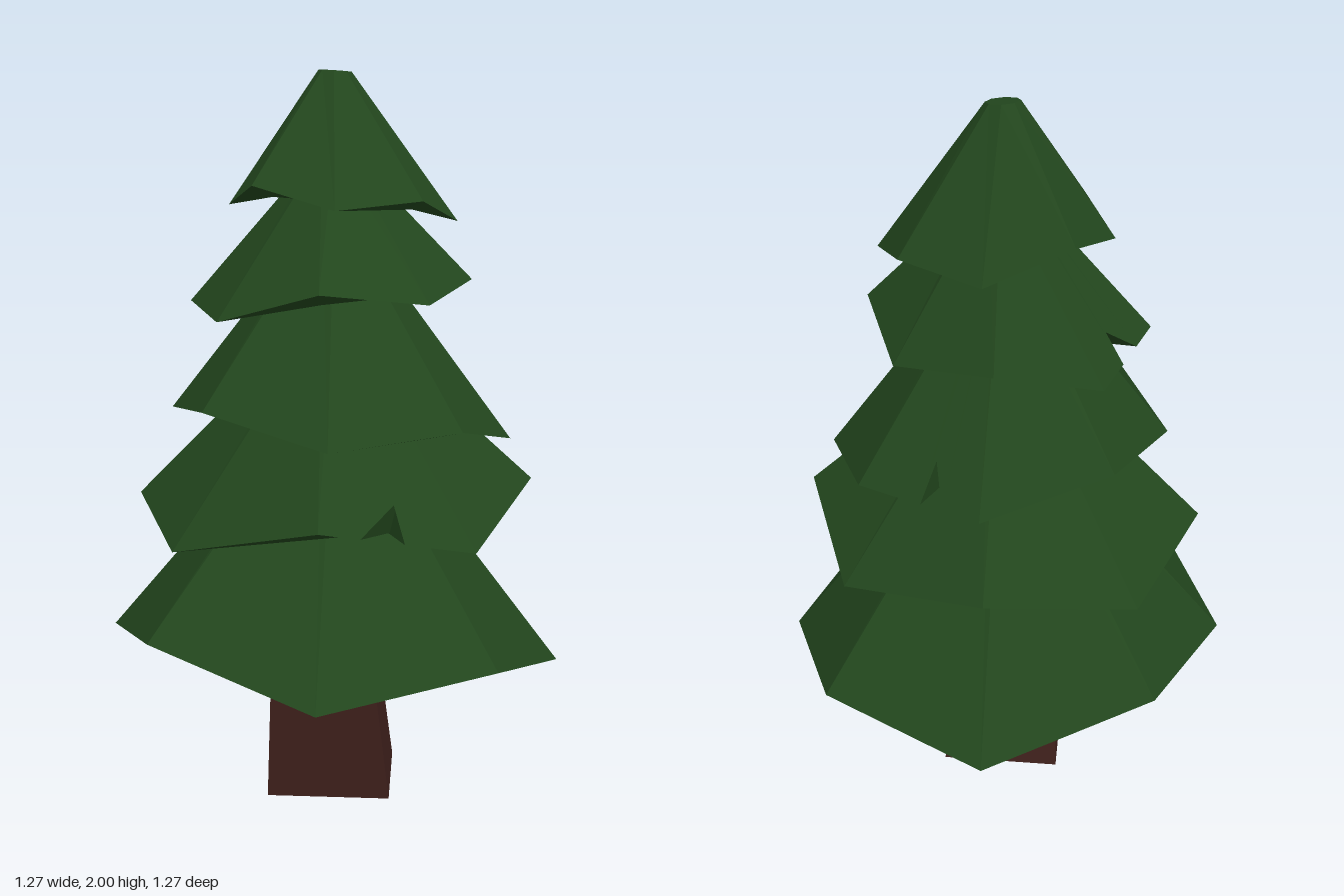
import * as THREE from 'three';

const foliageMaterial = new THREE.MeshStandardMaterial({ color: 0x22461d, flatShading: true });
const barkMaterial = new THREE.MeshStandardMaterial({ color: 0x3f201c, flatShading: true });

// Skins a list of rings (each an array of Vector3, same count) with flat facets
function loft(rings) {
  const positions = [];
  const tri = (...corners) => {
    const [a, b, c] = corners;
    if (a.equals(b) || b.equals(c) || a.equals(c)) return;
    corners.forEach((p) => positions.push(p.x, p.y, p.z));
  };
  for (let r = 0; r < rings.length - 1; r++) {
    const low = rings[r], high = rings[r + 1], n = low.length;
    for (let i = 0; i < n; i++) {
      const j = (i + 1) % n;
      tri(low[i], high[i], high[j]);
      tri(low[i], high[j], low[j]);
    }
  }
  const geometry = new THREE.BufferGeometry();
  geometry.setAttribute('position', new THREE.Float32BufferAttribute(positions, 3));
  geometry.computeVertexNormals();
  return geometry;
}

// Ring collapsed to its average point, used to close a loft
function centreOf(ring) {
  const c = ring.reduce((sum, p) => sum.add(p), new THREE.Vector3()).divideScalar(ring.length);
  return ring.map(() => c.clone());
}

// Regular ring; heightAt(k, x) gives the height of each corner
function makeRing(sides, radius, cx, cz, heightAt) {
  return Array.from({ length: sides }, (_, k) => {
    const a = (k / sides) * Math.PI * 2;
    const x = Math.cos(a) * radius, z = Math.sin(a) * radius;
    return new THREE.Vector3(cx + x, heightAt(k, x), cz + z);
  });
}

// Eight-sided hollow skirt. rim: corner heights from +x round by +z.
// notch: [side, start, tip, end] cuts a small tear into one side of the rim.
function makeTier({ radius, cx, cz, rim, topY, notch }) {
  const mean = rim.reduce((s, y) => s + y, 0) / 8;
  // Tilt of the rim at corner k, without its zigzag
  const tilt = (k) => (rim[k] - rim[(k + 4) % 8]) / 2;
  let rings = [
    makeRing(8, radius * 0.32, cx, cz, (k) => mean + radius * 0.48 + tilt(k) * 0.32),
    makeRing(8, radius * 0.78, cx, cz, (k) => mean + tilt(k) * 0.78),
    makeRing(8, radius, cx, cz, (k) => rim[k]),
    makeRing(8, 0.045, 0.005, 0, (k, x) => topY - 0.1 * x),
  ];
  if (notch) {
    const [side, ...steps] = notch;
    rings = rings.map((ring) => {
      const extra = steps.map((t) => ring[side].clone().lerp(ring[(side + 1) % 8], t));
      return [...ring.slice(0, side + 1), ...extra, ...ring.slice(side + 1)];
    });
    const tip = side + 2;
    rings[2][tip].lerp(rings[3][tip], 0.18);
  }
  return loft([centreOf(rings[0]), ...rings, centreOf(rings[3])]);
}

const tiers = [
  { radius: 0.636, cx: 0, cz: 0, topY: 1.13,
    rim: [0.465, 0.405, 0.52, 0.44, 0.515, 0.395, 0.46, 0.36] },
  { radius: 0.553, cx: 0, cz: 0, topY: 1.34, notch: [0, 0.46, 0.42, 0.74],
    rim: [0.76, 0.84, 0.75, 0.83, 0.77, 0.865, 0.79, 0.885] },
  { radius: 0.472, cx: 0.031, cz: 0.003, topY: 1.6, notch: [5, 0.3, 0.45, 0.48],
    rim: [1.065, 1.03, 1.11, 1.08, 1.13, 1.05, 1.06, 1.0] },
  { radius: 0.384, cx: 0.037, cz: 0.045, topY: 1.78, notch: [3, 0.32, 0.58, 0.6],
    rim: [1.385, 1.415, 1.34, 1.38, 1.32, 1.4, 1.365, 1.44] },
  { radius: 0.312, cx: 0.037, cz: 0, topY: 1.996,
    rim: [1.645, 1.62, 1.685, 1.64, 1.695, 1.62, 1.65, 1.595] },
];

export function createModel() {
  const tree = new THREE.Group();
  tree.name = 'pineTree';

  // Four-sided trunk with a slight bend: [radius, centre x, centre z, height]
  const trunkRings = [
    [0.24, -0.002, 0.004, 0],
    [0.208, 0.014, 0.037, 0.29],
    [0.196, 0.002, 0.022, 0.5],
    [0.18, 0, 0.01, 0.76],
  ].map(([r, cx, cz, y]) => makeRing(4, r, cx, cz, () => y));
  const trunk = new THREE.Mesh(
    loft([centreOf(trunkRings[0]), ...trunkRings, centreOf(trunkRings[3])]), barkMaterial);
  trunk.name = 'trunk';
  tree.add(trunk);

  // Stacked branch skirts, bottom to top
  tiers.forEach((tier, i) => {
    const mesh = new THREE.Mesh(makeTier(tier), foliageMaterial);
    mesh.name = `foliageTier${i + 1}`;
    tree.add(mesh);
  });
  return tree;
}
